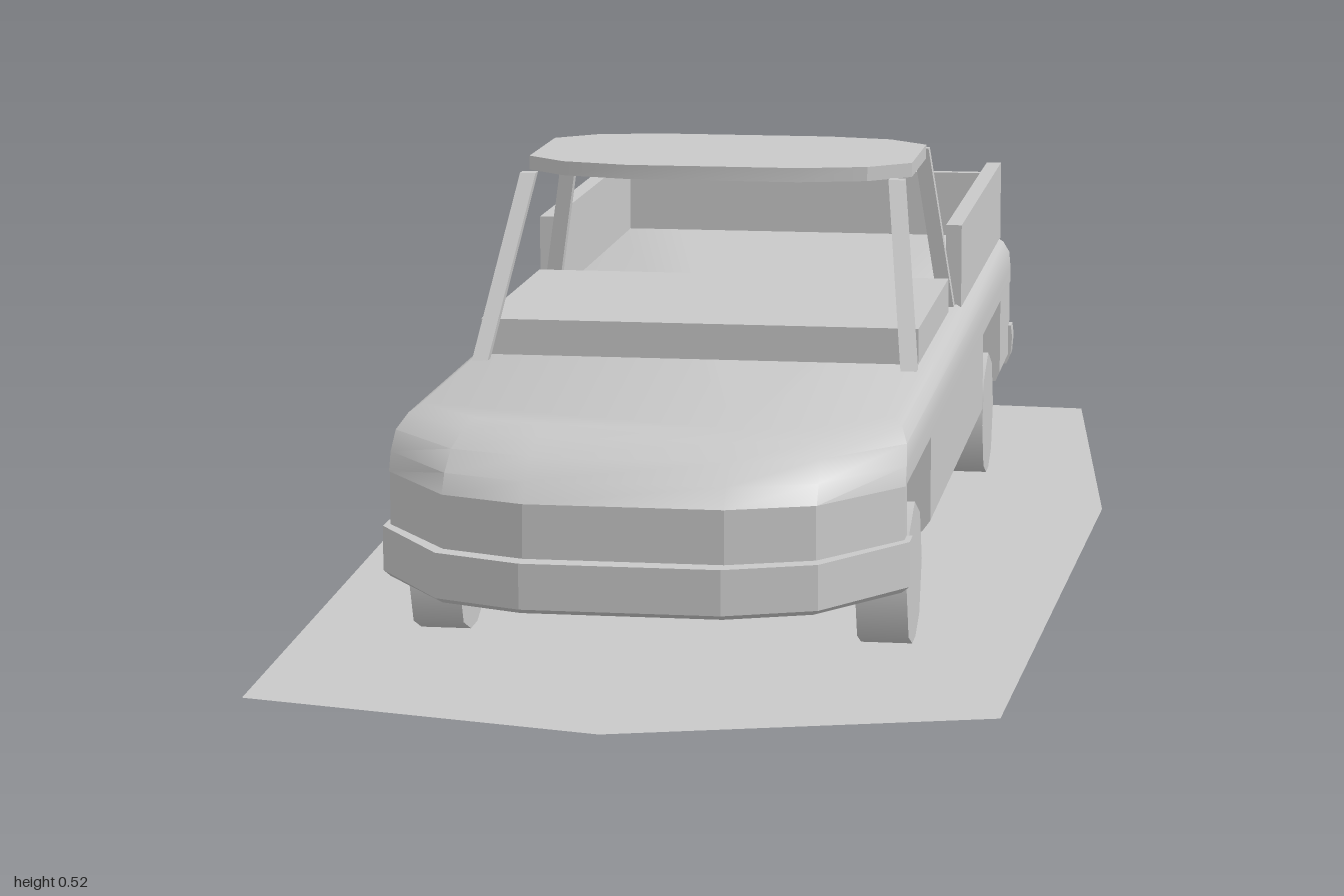
import * as THREE from 'three';
import { toCreasedNormals } from 'three/addons/utils/BufferGeometryUtils.js';

const grey = new THREE.MeshStandardMaterial({ color: 0xc8c8c8 });
grey.name = 'body grey';
const sheet = new THREE.MeshStandardMaterial({ color: 0xc8c8c8, side: THREE.DoubleSide });
sheet.name = 'ground grey';

// Closed solid through horizontal half outlines [[x, z], ...] (front to back), mirrored in x
function loft(layers, crease = 0.6) {
  const pos = [];
  const idx = [];
  const n = layers[0].half.length * 2;
  for (const { y, half } of layers) {
    const ring = [...half, ...half.map(([x, z]) => [-x, z]).reverse()];
    ring.forEach(([x, z]) => pos.push(x, y, z));
  }
  for (let k = 0; k < layers.length - 1; k++) {
    for (let i = 0; i < n; i++) {
      const a = k * n + i;
      const b = k * n + ((i + 1) % n);
      idx.push(a, b, b + n, a, b + n, a + n);
    }
  }
  const top = (layers.length - 1) * n;
  for (let i = 1; i < n - 1; i++) {
    idx.push(top, top + i, top + i + 1, 0, i + 1, i);
  }
  const geo = new THREE.BufferGeometry();
  geo.setAttribute('position', new THREE.Float32BufferAttribute(pos, 3));
  geo.setIndex(idx);
  return toCreasedNormals(geo, crease);
}

// Rounded nose and tail plan shapes: w = half width, f / r = extreme z, s = z of the side corner
const nose = (w, f, s) => [[0.115, f], [w * 0.71, f - (f - s) * 0.24], [w, s]];
const tail = (w, r, s) => [[w, s], [w * 0.68, r + (s - r) * 0.15], [w * 0.3, r]];

export function createModel() {
  const model = new THREE.Group();
  model.name = 'pickup';
  const truck = new THREE.Group();
  truck.name = 'truck';
  truck.position.x = -0.01;
  model.add(truck);

  const add = (name, geo) => {
    const mesh = new THREE.Mesh(geo, grey);
    mesh.name = name;
    truck.add(mesh);
    return mesh;
  };
  const box = (name, x0, x1, y0, y1, z0, z1) =>
    add(name, new THREE.BoxGeometry(x1 - x0, y1 - y0, z1 - z0))
      .position.set((x0 + x1) / 2, (y0 + y1) / 2, (z0 + z1) / 2);

  // Upper body with sloping bonnet and rounded tail
  const upper = [
    [0.228, 0.303, 0.838, 0.68, -0.845],
    [0.25, 0.303, 0.82, 0.67, -0.84],
    [0.272, 0.301, 0.785, 0.65, -0.832],
    [0.287, 0.292, 0.745, 0.62, -0.826],
    [0.295, 0.28, 0.71, 0.6, -0.822],
  ];
  add('upperBody', loft(upper.map(([y, w, f, s, r]) => ({
    y, half: [...nose(w, f, s), ...tail(w, r, -0.805)],
  }))));

  // Lower body in three blocks, leaving the wheel openings free
  add('grille', loft([0.15, 0.228].map((y) => ({
    y, half: [...nose(0.302, 0.838, 0.68), [0.302, 0.655]],
  })), 0.3));
  add('frontBumper', loft([[0.105, 0.3, 0.85], [0.112, 0.309, 0.863], [0.165, 0.309, 0.863]].map(([y, w, f]) => ({
    y, half: [...nose(w, f, 0.69), [w, 0.655]],
  })), 0.3));
  add('sills', loft([[0.108, 0.292], [0.122, 0.302], [0.228, 0.302]].map(([y, w]) => ({
    y, half: [[w, 0.375], [w, -0.355]],
  })), 0.3));
  add('rearPanel', loft([[0.15, -0.838], [0.19, -0.848], [0.228, -0.845]].map(([y, r]) => ({
    y, half: [[0.302, -0.64], ...tail(0.302, r, -0.805)],
  }))));
  add('rearQuarters', loft([[0.108, 0.296], [0.122, 0.302], [0.165, 0.302]].map(([y, w]) => ({
    y, half: [[w, -0.64], [w, -0.8]],
  })), 0.3));
  add('rearBumper', loft([[0.108, 0.3, -0.835], [0.122, 0.306, -0.855], [0.148, 0.308, -0.863], [0.165, 0.306, -0.858]].map(([y, w, r]) => ({
    y, half: [[w, -0.785], ...tail(w, r, -0.815)],
  }))));

  // Raised cabin block
  box('cabinBlock', -0.275, 0.275, 0.29, 0.34, -0.125, 0.268);

  // Load bed walls
  box('tailgate', -0.266, 0.266, 0.29, 0.388, -0.82, -0.805);
  for (const s of [-1, 1]) {
    const c = s * 0.2755;
    box('bedSide', c - 0.0105, c + 0.0105, 0.29, 0.402, -0.822, -0.19);
  }

  // Thin roof panel with clipped corners
  const roof = [[0.11, 0.155], [0.195, 0.132], [0.247, 0.085], [0.247, -0.095], [0.195, -0.142], [0.11, -0.16]];
  add('roof', loft([{ y: 0.504, half: roof }, { y: 0.522, half: roof }], 0.3));

  // Slanted pillars
  const pillar = (name, x0, z0, x1, z1) => {
    const y0 = 0.288;
    const y1 = 0.51;
    const geo = new THREE.BoxGeometry(0.02, y1 - y0, 0.018);
    const p = geo.attributes.position;
    for (let i = 0; i < p.count; i++) {
      const t = p.getY(i) > 0 ? 1 : 0;
      p.setXYZ(i, p.getX(i) + x0 + (x1 - x0) * t, t ? y1 : y0, p.getZ(i) + z0 + (z1 - z0) * t);
    }
    geo.computeVertexNormals();
    add(name, geo);
  };
  // Eight-sided wheels, with a vertex at the top
  const wheelGeo = new THREE.CylinderGeometry(0.088, 0.088, 0.061, 8);
  wheelGeo.rotateZ(Math.PI / 2);
  for (const s of [-1, 1]) {
    // swapped x signs keep the box winding intact
    pillar('frontPillar', s * 0.269, 0.312, s * 0.235, 0.152);
    pillar('rearPillar', s * 0.269, -0.178, s * 0.235, -0.155);
    for (const z of [0.52, -0.495]) {
      add('wheel', wheelGeo).position.set(s * 0.267, 0.088, z);
    }
  }

  // Irregular ground sheet
  const outline = [[-0.07, -1], [0.39, -0.97], [0.465, -0.25], [0.42, 0.87], [-0.01, 1], [-0.437, 0.9], [-0.47, -0.42]];
  const groundGeo = new THREE.ShapeGeometry(new THREE.Shape(outline.map(([x, z]) => new THREE.Vector2(x, -z))));
  groundGeo.rotateX(-Math.PI / 2);
  const ground = new THREE.Mesh(groundGeo, sheet);
  ground.name = 'groundSheet';
  ground.position.y = 0.008;
  model.add(ground);

  return model;
}
